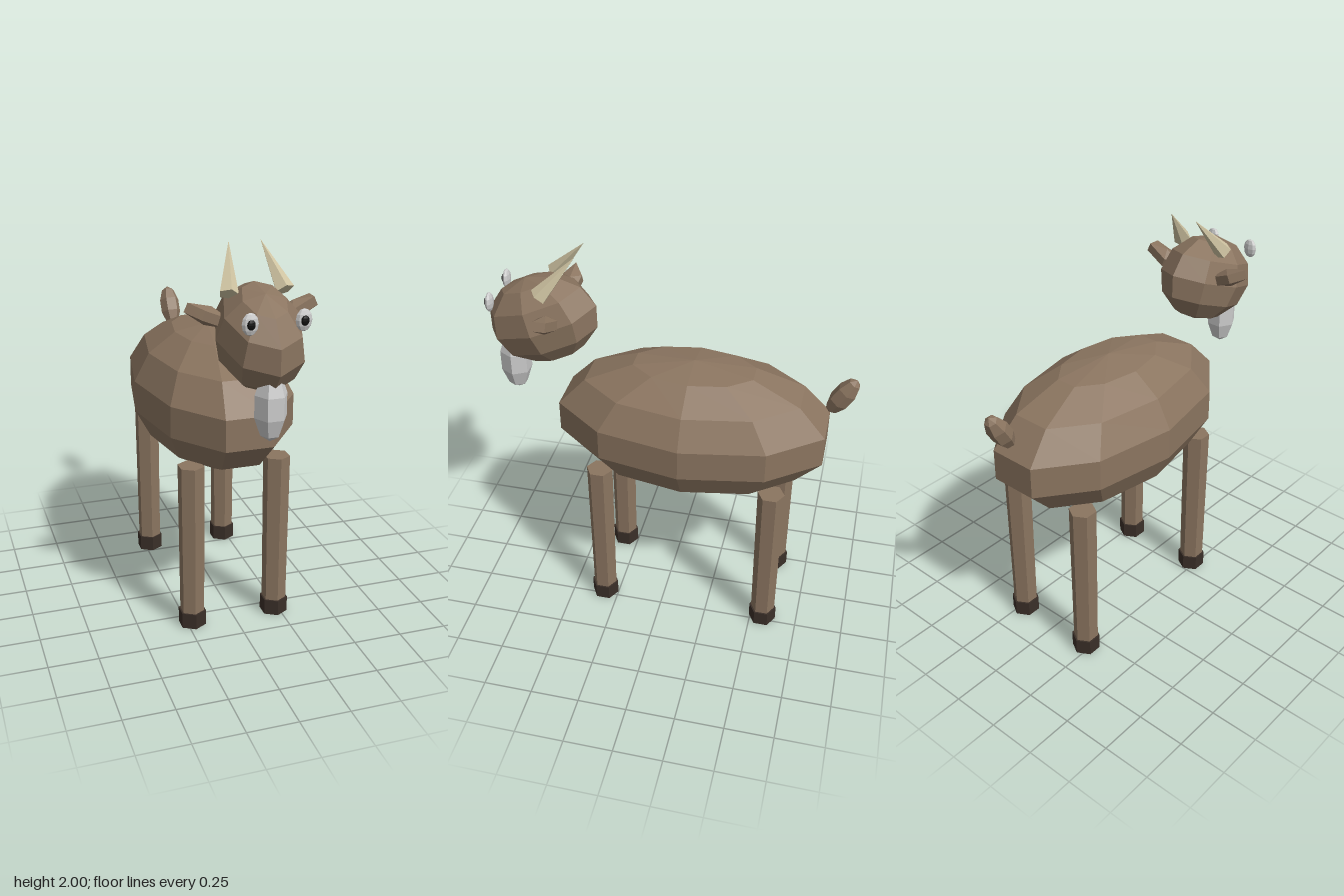
import * as THREE from 'three';

const paint = (color) => new THREE.MeshStandardMaterial({ color, flatShading: true });

export function createModel() {
  const goat = new THREE.Group();
  goat.name = 'goat';
  const coat = paint(0x8b7560), hoofDark = paint(0x3a2f28), horn = paint(0xcfc4a2);
  const white = paint(0xe4e4e4), black = paint(0x111111);

  const add = (name, geometry, material, x, y, z) => {
    const mesh = new THREE.Mesh(geometry, material);
    mesh.name = name;
    mesh.position.set(x, y, z);
    goat.add(mesh);
    return mesh;
  };
  // low-poly ellipsoid with its own radii and facet counts
  const blob = (rx, ry, rz, around, rows) =>
    new THREE.SphereGeometry(1, around, rows).scale(rx, ry, rz);

  // body, head, beard and tail
  add('body', blob(0.4, 0.36, 0.726, 10, 7), coat, 0, 1.11, -0.12);
  add('head', blob(0.2, 0.225, 0.294, 8, 6), coat, 0, 1.61, 0.645).rotation.x = 0.35;
  add('beard', blob(0.08, 0.17, 0.083, 6, 5), white, 0, 1.345, 0.81);
  add('tail', blob(0.057, 0.117, 0.055, 6, 5), coat, 0, 1.373, -0.85).rotation.x = -0.55;

  const up = new THREE.Vector3(0, 1, 0);
  for (const side of [-1, 1]) {
    const label = side > 0 ? 'left' : 'right';

    // ears, tilted up and outward
    add(label + 'Ear', blob(0.127, 0.045, 0.06, 5, 3), coat, side * 0.21, 1.70, 0.56)
      .rotation.z = side * 0.42;

    // eyes with pupils
    add(label + 'Eye', blob(0.038, 0.05, 0.019, 8, 6), white, side * 0.12, 1.735, 0.867);
    add(label + 'Pupil', blob(0.019, 0.023, 0.011, 8, 6), black, side * 0.12, 1.735, 0.882);

    // horns, swept back from base to tip
    const base = new THREE.Vector3(side * 0.13, 1.802, 0.61);
    const tip = new THREE.Vector3(side * 0.075, 2.0, 0.44);
    const sweep = tip.clone().sub(base);
    const cone = new THREE.ConeGeometry(0.046, sweep.length(), 5);
    cone.translate(0, sweep.length() / 2, 0);
    add(label + 'Horn', cone, horn, base.x, base.y, base.z)
      .quaternion.setFromUnitVectors(up, sweep.normalize());

    // legs and hooves
    for (const [end, z] of [['Front', 0.323], ['Back', -0.565]]) {
      add(label + end + 'Leg', new THREE.CylinderGeometry(0.068, 0.063, 0.81, 6), coat,
        side * 0.223, 0.48, z);
      add(label + end + 'Hoof', new THREE.CylinderGeometry(0.072, 0.072, 0.082, 6), hoofDark,
        side * 0.223, 0.041, z);
    }
  }
  return goat;
}
